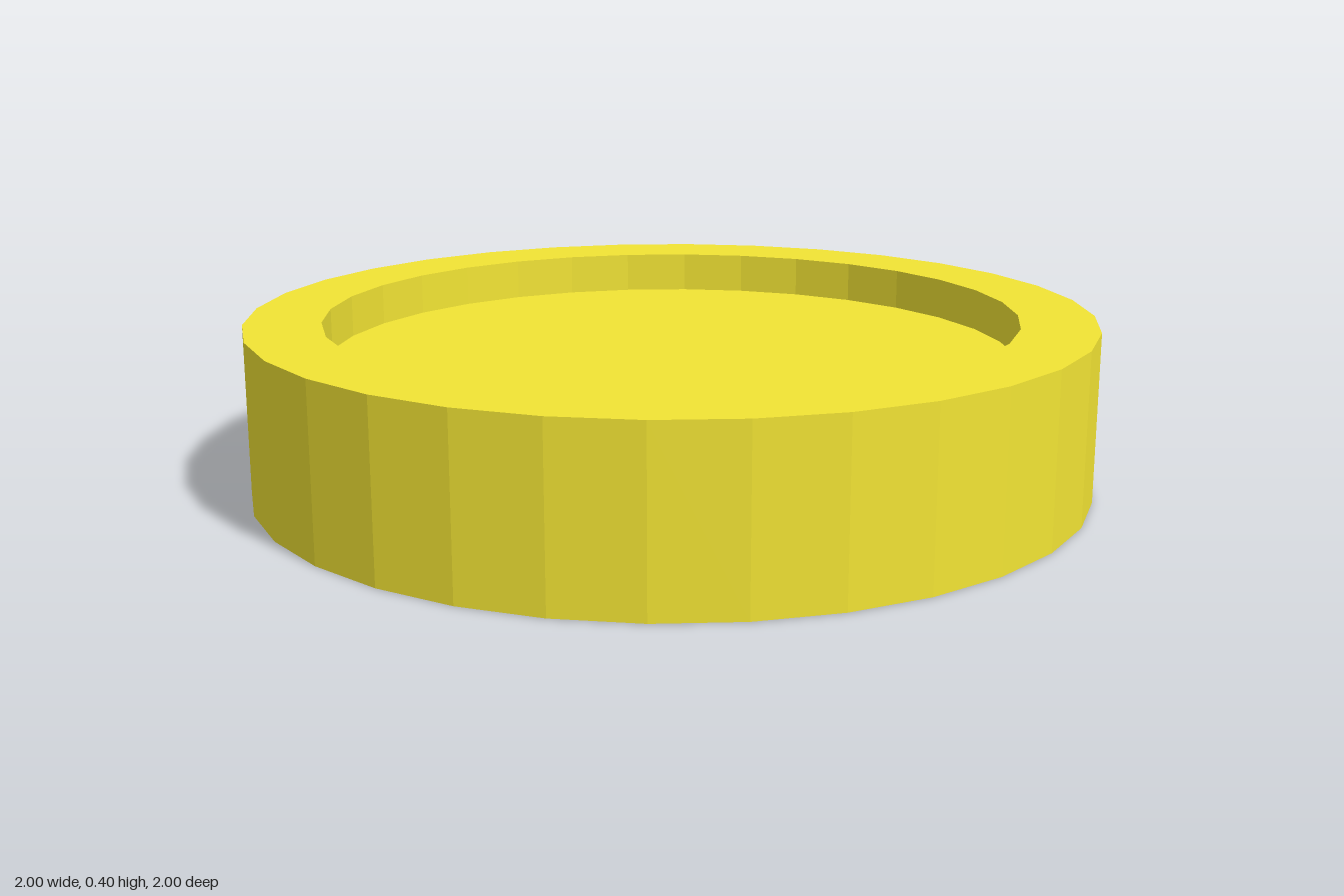
import * as THREE from 'three';

export function createModel() {
  const model = new THREE.Group();
  model.name = 'recessedDisc';

  // Half section: underside recess, outer wall, rim, top recess
  const profile = [
    [0, 0.15], [0.88, 0.15], [0.88, 0], [1, 0],
    [1, 0.4], [0.82, 0.4], [0.82, 0.3], [0, 0.3],
  ].map(([r, y]) => new THREE.Vector2(r, y));

  const disc = new THREE.Mesh(
    new THREE.LatheGeometry(profile, 32),
    new THREE.MeshStandardMaterial({ color: 0xf2e434, flatShading: true })
  );
  disc.name = 'disc';
  model.add(disc);

  return model;
}
